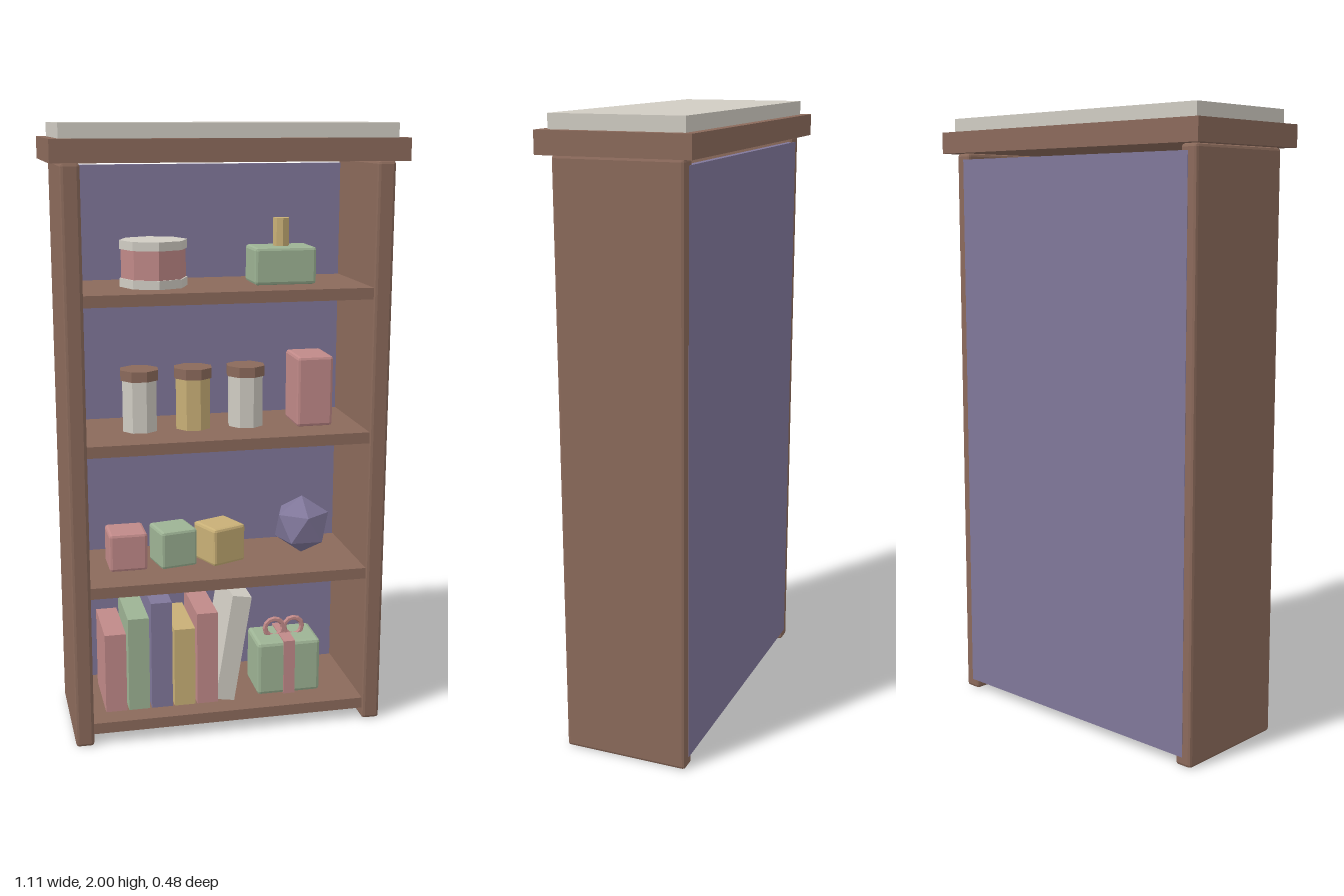
import * as THREE from 'three';
import { RoundedBoxGeometry } from 'three/addons/geometries/RoundedBoxGeometry.js';

function makeMaterial(name, color) {
  const m = new THREE.MeshStandardMaterial({ color });
  m.name = name;
  return m;
}

export function createModel() {
  const wood = makeMaterial('wood', 0x8b6a5b);
  const lavender = makeMaterial('lavender', 0x80779a);
  const cream = makeMaterial('cream', 0xd0ccc3);
  const pink = makeMaterial('pink', 0xc08988);
  const green = makeMaterial('green', 0x9db394);
  const gold = makeMaterial('gold', 0xc8af76);

  const model = new THREE.Group();
  model.name = 'bookcase';

  // Faceted mesh helper
  function add(parent, name, geometry, material, x = 0, y = 0, z = 0) {
    const flat = geometry.index ? geometry.toNonIndexed() : geometry;
    flat.computeVertexNormals();
    const mesh = new THREE.Mesh(flat, material);
    mesh.name = name;
    mesh.position.set(x, y, z);
    parent.add(mesh);
    return mesh;
  }
  function group(name) {
    const g = new THREE.Group();
    g.name = name;
    model.add(g);
    return g;
  }
  const box = (w, h, d) => new THREE.BoxGeometry(w, h, d);
  const bevelBox = (w, h, d, r = 0.01) => new RoundedBoxGeometry(w, h, d, 1, r);
  const prism = (r, h, sides = 8) => new THREE.CylinderGeometry(r, r, h, sides);

  // Case
  const frame = group('case');
  for (const s of [-1, 1]) {
    add(frame, s > 0 ? 'leftSide' : 'rightSide', bevelBox(0.06, 1.885, 0.41), wood, s * 0.492, 0.9425, 0);
  }
  add(frame, 'backPanel', box(0.98, 1.835, 0.02), lavender, 0, 0.9475, -0.196);
  add(frame, 'topBoard', box(1.11, 0.07, 0.48), wood, 0, 1.92, 0);
  add(frame, 'topSlab', box(1.05, 0.045, 0.42), cream, 0, 1.9775, 0);

  // Shelves, given by the height of their upper faces
  const tops = [0.075, 0.548, 1.017, 1.49];
  tops.forEach((y, i) => add(frame, 'shelf' + (i + 1), box(0.93, 0.037, 0.375), wood, 0, y - 0.0185, 0.008));

  // Books
  const books = group('books');
  [[0.275, pink], [0.325, green], [0.375, lavender], [0.275, gold], [0.325, pink]].forEach(([h, m], i) => {
    add(books, 'book' + (i + 1), box(0.071, h, 0.24), m, -0.376 + i * 0.078, tops[0] + h / 2, 0);
  });
  add(books, 'leaningBook', box(0.066, 0.375, 0.24), cream, 0.026, 0.265, 0).rotation.z = -0.16;

  // Gift with ribbon and bow
  const gift = group('gift');
  gift.position.set(0.226, tops[0], 0.025);
  add(gift, 'giftBox', bevelBox(0.222, 0.19, 0.16, 0.012), green, 0, 0.095, 0);
  add(gift, 'ribbon', box(0.04, 0.194, 0.166), pink, 0, 0.097, 0);
  for (const s of [-1, 1]) {
    add(gift, 'bowLoop', new THREE.TorusGeometry(0.032, 0.009, 6, 12), pink, s * 0.034, 0.213, 0);
  }

  // Cubes, each turned a little further
  const cubes = group('cubes');
  [pink, green, gold].forEach((m, i) => {
    add(cubes, 'cube' + (i + 1), bevelBox(0.128, 0.13, 0.128), m, -0.318 + i * 0.16, tops[1] + 0.065, 0).rotation.y = i * 0.2;
  });

  // Faceted stone standing on a point
  const stone = new THREE.IcosahedronGeometry(0.102, 0);
  stone.rotateZ(Math.atan(2 / (1 + Math.sqrt(5))));
  stone.rotateY(0.3);
  add(model, 'facetedStone', stone, lavender, 0.292, tops[1] + 0.105, 0);

  // Jars with lids
  [cream, gold, cream].forEach((m, i) => {
    const jar = group('jar' + (i + 1));
    jar.position.set(-0.265 + i * 0.178, tops[2], 0);
    jar.rotation.y = 0.25;
    add(jar, 'jarBody', prism(0.06, 0.17), m, 0, 0.085, 0);
    add(jar, 'jarLid', prism(0.066, 0.034), wood, 0, 0.187, 0);
  });
  add(model, 'tallBox', bevelBox(0.122, 0.235, 0.16), pink, 0.31, tops[2] + 0.1175, 0);

  // Round tin with end bands
  const tin = group('roundTin');
  tin.position.set(-0.213, tops[3], 0);
  add(tin, 'tinBody', prism(0.105, 0.13), pink, 0, 0.073, 0);
  for (const y of [0.014, 0.134]) add(tin, 'tinBand', prism(0.11, 0.028), cream, 0, y, 0);

  // Stoppered bottle
  const bottle = group('bottle');
  bottle.position.set(0.207, tops[3], 0);
  add(bottle, 'bottleBody', bevelBox(0.205, 0.12, 0.14), green, 0, 0.06, 0);
  add(bottle, 'stopper', prism(0.027, 0.09), gold, 0, 0.165, 0);

  return model;
}
